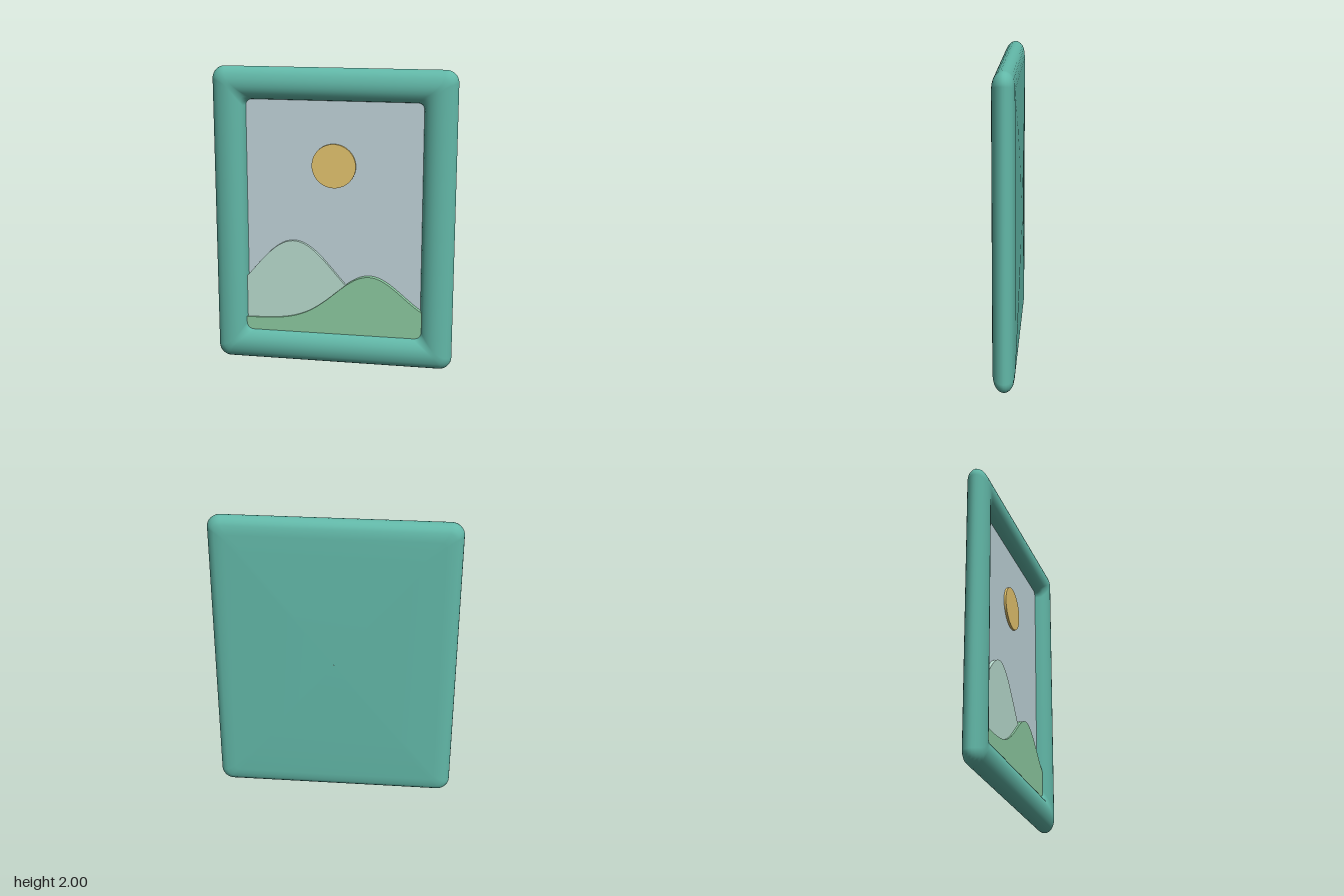
import * as THREE from 'three';

const mat = (name, color) => {
  const m = new THREE.MeshStandardMaterial({ color });
  m.name = name;
  return m;
};

// Points of a rounded rectangle, counter-clockwise, centred on (0, 1)
function roundedLoop(hw, hh, r, steps = 8) {
  const corners = [[1, 1], [-1, 1], [-1, -1], [1, -1]];
  const pts = [];
  corners.forEach(([sx, sy], c) => {
    for (let i = 0; i <= steps; i++) {
      const a = (c + i / steps) * Math.PI / 2;
      pts.push(new THREE.Vector2(sx * (hw - r) + r * Math.cos(a), 1 + sy * (hh - r) + r * Math.sin(a)));
    }
  });
  return pts;
}

// Skin through a series of loops, each { pts, z }
function skin(loops) {
  const n = loops[0].pts.length, pos = [], index = [];
  loops.forEach(({ pts, z }) => pts.forEach(p => pos.push(p.x, p.y, z)));
  for (let k = 0; k < loops.length - 1; k++) {
    for (let i = 0; i < n; i++) {
      const a = k * n + i, a2 = k * n + (i + 1) % n;
      index.push(a, a + n, a2 + n, a, a2 + n, a2);
    }
  }
  const g = new THREE.BufferGeometry();
  g.setAttribute('position', new THREE.Float32BufferAttribute(pos, 3));
  g.setIndex(index);
  g.computeVertexNormals();
  return g;
}

// Padded frame: inner lip, rounded moulding, outer edge and bulging back
function frameGeometry() {
  // [inset from the outer edge, corner radius, z]
  const profile = [
    [0.216, 0.04, -0.014], [0.209, 0.045, 0.012], [0.2, 0.05, 0.031], [0.188, 0.045, 0.044],
    [0.17, 0.038, 0.057], [0.148, 0.03, 0.067], [0.125, 0.026, 0.072], [0.1, 0.026, 0.073],
    [0.075, 0.032, 0.069], [0.05, 0.045, 0.061], [0.03, 0.06, 0.05], [0.013, 0.072, 0.034],
    [0.003, 0.08, 0.016], [0, 0.082, 0], [0.003, 0.08, -0.016], [0.013, 0.072, -0.034],
    [0.03, 0.06, -0.05], [0.05, 0.048, -0.059], [0.08, 0.036, -0.065], [0.11, 0.03, -0.068]];
  const loops = profile.map(([d, r, z]) => ({ pts: roundedLoop(0.8 - d, 1 - d, r), z }));
  for (const s of [0.85, 0.68, 0.5, 0.3, 0.1, 0.001]) {
    loops.push({ pts: roundedLoop(0.69 * s, 0.89 * s, 0.03 * s), z: -0.068 - 0.012 * (1 - s * s) });
  }
  return skin(loops);
}

// Hill slab: bell-curve top edge, rounded bottom corners
function hillGeometry(peakX, base, height, spread, depth) {
  const w = 0.597, bottom = 0.208, r = 0.055, n = 48;
  const s = new THREE.Shape();
  s.moveTo(-w + r, bottom);
  s.lineTo(w - r, bottom);
  s.quadraticCurveTo(w, bottom, w, bottom + r);
  for (let i = 0; i <= n; i++) {
    const x = w - 2 * w * i / n;
    s.lineTo(x, base + height * Math.exp(-((x - peakX) ** 2) / (2 * spread * spread)));
  }
  s.lineTo(-w, bottom + r);
  s.quadraticCurveTo(-w, bottom, -w + r, bottom);
  return new THREE.ExtrudeGeometry(s, { depth, bevelEnabled: false, curveSegments: 8 });
}

export function createModel() {
  const group = new THREE.Group();
  group.name = 'pictureFrame';
  const add = (name, geometry, material, x = 0, y = 0, z = 0) => {
    const mesh = new THREE.Mesh(geometry, material);
    mesh.name = name;
    mesh.position.set(x, y, z);
    group.add(mesh);
    return mesh;
  };

  add('frame', frameGeometry(), mat('teal', 0x62b8a8));

  // Picture panel
  const sky = new THREE.ShapeGeometry(new THREE.Shape(roundedLoop(0.594, 0.794, 0.045)));
  add('sky', sky, mat('pale blue grey', 0xc0d4da), 0, 0, -0.01);

  // Sun disc
  const sun = new THREE.CylinderGeometry(0.146, 0.146, 0.015, 64);
  sun.rotateX(Math.PI / 2);
  add('sun', sun, mat('gold', 0xe4c46e), 0, 1.358, -0.003);

  // Hills, the nearer one in front
  add('farHill', hillGeometry(-0.27, 0.3, 0.545, 0.282, 0.025), mat('pale mint', 0xb9dccf), 0, 0, -0.011);
  add('nearHill', hillGeometry(0.24, 0.295, 0.325, 0.229, 0.038), mat('leaf green', 0x8cc9a0), 0, 0, -0.011);

  return group;
}
